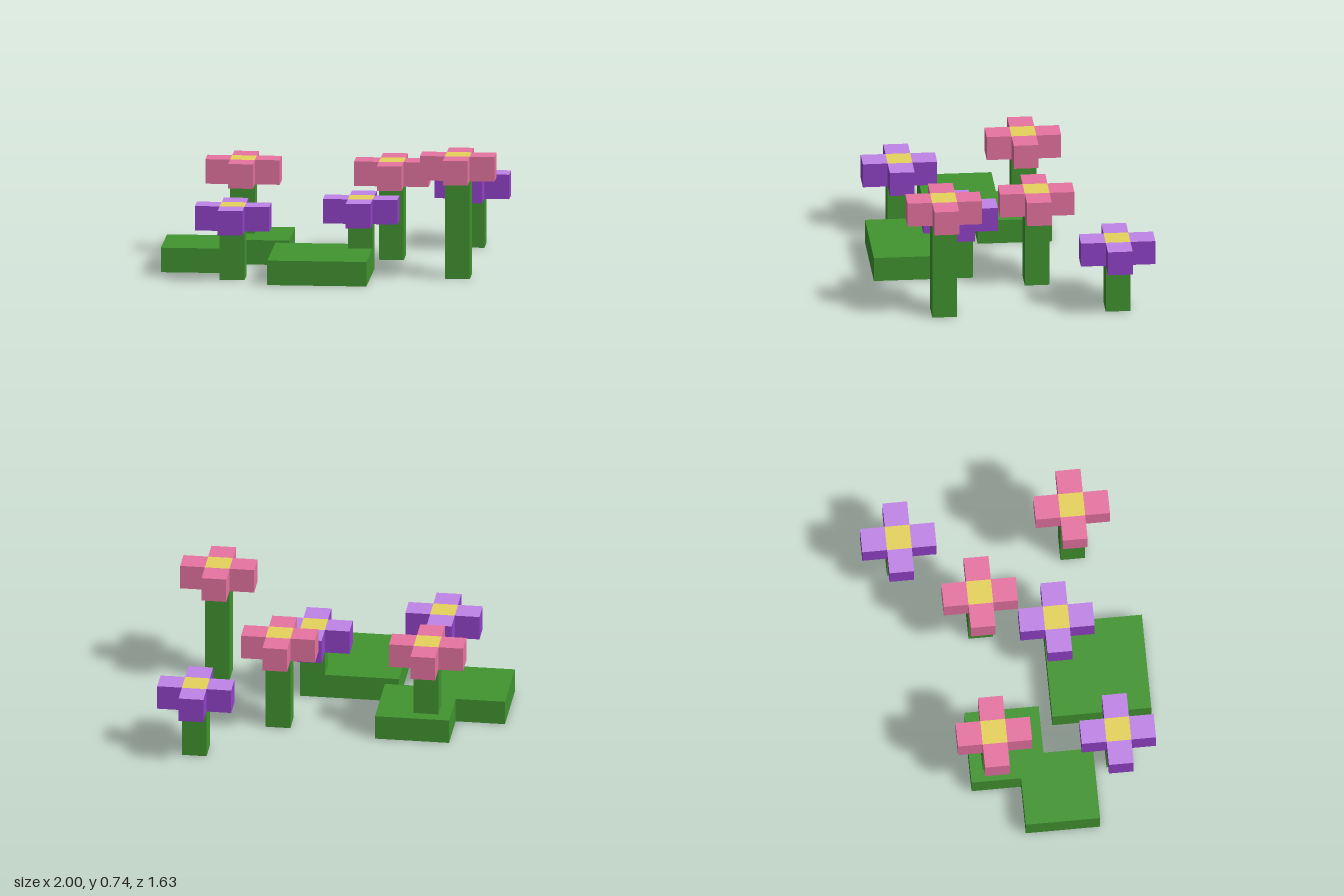
import * as THREE from 'three';

const U = 2 / 13.5; // edge of one block

const material = (name, color) => {
  const m = new THREE.MeshStandardMaterial({ color });
  m.name = name;
  return m;
};

export function createModel() {
  const green = material('leaf green', 0x429531);
  const pink = material('petal pink', 0xe976a3);
  const purple = material('petal purple', 0x9343ca);
  const lilac = material('petal lilac', 0xc084e8);
  const yellow = material('pollen yellow', 0xe9d45d);

  const model = new THREE.Group();
  model.name = 'flowerPatch';

  // Box given in block units: centre x, z, bottom y and sizes
  function block(parent, name, mat, x, y, z, w, h, d) {
    const mesh = new THREE.Mesh(new THREE.BoxGeometry(w * U, h * U, d * U), mat);
    mesh.position.set(x * U, (y + h / 2) * U, z * U);
    mesh.name = name;
    parent.add(mesh);
  }

  // Flat leaf pad extruded upwards from an outline of [x, z] corners
  function pad(name, corners) {
    const shape = new THREE.Shape(corners.map(([x, z]) => new THREE.Vector2(x * U, -z * U)));
    const geometry = new THREE.ExtrudeGeometry(shape, { depth: U, bevelEnabled: false });
    geometry.rotateX(-Math.PI / 2);
    const mesh = new THREE.Mesh(geometry, green);
    mesh.name = name;
    model.add(mesh);
  }

  // Stem, four petals and a yellow heart; petals may have a paler top
  function flower(name, x, z, base, height, side, top) {
    const group = new THREE.Group();
    group.name = name;
    group.position.set(x * U, 0, z * U);
    block(group, 'stem', green, 0, base, 0, 1, height - base, 1);
    block(group, 'heart', yellow, 0, height, 0, 1, 1, 1);
    const petalMaterials = [side, side, top, side, side, side];
    for (const [dx, dz] of [[1, 0], [-1, 0], [0, 1], [0, -1]]) {
      block(group, 'petal', petalMaterials, dx, height, dz, 1, 1, 1);
    }
    model.add(group);
  }

  // Leaf pads: two joined squares and one larger square
  pad('joinedLeafPad', [
    [-6.75, 0], [-4.75, 0], [-4.75, -2], [-1.75, -2],
    [-1.75, 1], [-3.75, 1], [-3.75, 3], [-6.75, 3],
  ]);
  pad('squareLeafPad', [[-2.25, 1.5], [1.75, 1.5], [1.75, 5.5], [-2.25, 5.5]]);

  // Pink flowers
  flower('pinkFlowerOnPad', -3.75, -1, 1, 3, pink, pink);
  flower('pinkFlowerMiddle', 2.25, -1, 0, 3, pink, pink);
  flower('pinkFlowerTall', 5.25, 3, 0, 4, pink, pink);

  // Purple flowers
  flower('purpleFlowerBack', 5.25, -4, 0, 2, purple, lilac);
  flower('purpleFlowerOnPad', 1.25, 2, 1, 2, purple, lilac);
  flower('purpleFlowerFront', -3.75, 4, 0, 2, purple, lilac);

  return model;
}
